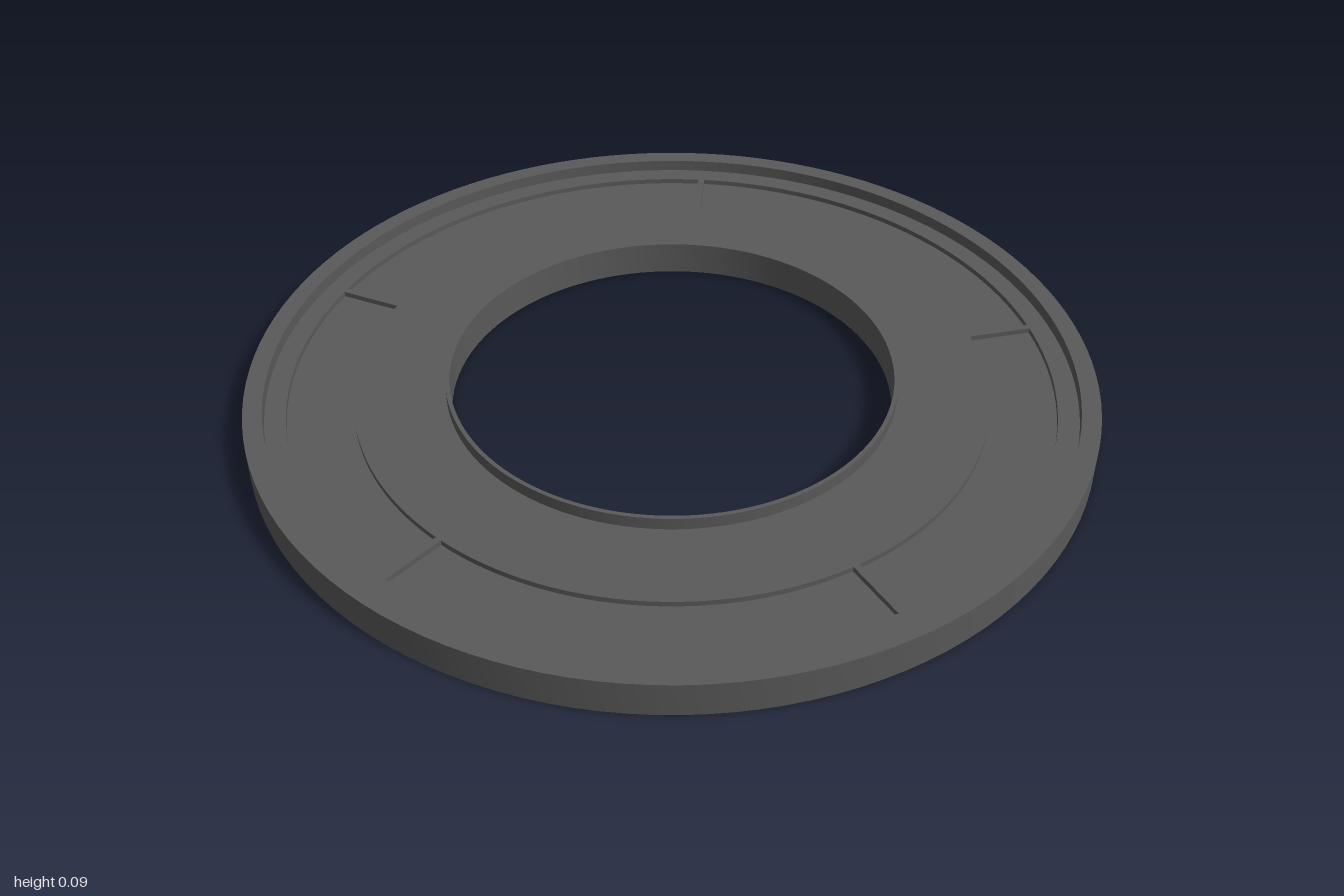
import * as THREE from 'three';
import { toCreasedNormals } from 'three/addons/utils/BufferGeometryUtils.js';

const HEIGHT = 0.085, DECK_Y = 0.055, POCKET_Y = 0.042;
const HOLE_R = 0.525, LIP_R = 0.535, RIM_R = 0.955, OUTER_R = 1;
const POCKET_IN = 0.75, POCKET_OUT = 0.905, RIB_HALF = 0.008, POCKETS = 5;

export function createModel() {
  const group = new THREE.Group();
  group.name = 'ringTray';
  const darkGrey = new THREE.MeshStandardMaterial({ color: 0x595959 });
  darkGrey.name = 'dark grey';

  const add = (name, geometry) => {
    const mesh = new THREE.Mesh(toCreasedNormals(geometry, 0.6), darkGrey);
    mesh.name = name;
    group.add(mesh);
  };

  // Ring body: base, raised outer rim and thin lip around the hole
  const profile = [
    [HOLE_R, 0], [OUTER_R, 0], [OUTER_R, HEIGHT], [RIM_R, HEIGHT], [RIM_R, POCKET_Y],
    [LIP_R, POCKET_Y], [LIP_R, HEIGHT], [HOLE_R, HEIGHT], [HOLE_R, 0],
  ].map(([r, y]) => new THREE.Vector2(r, y));
  add('ringBody', new THREE.LatheGeometry(profile, 120));

  // Deck between lip and rim, cut by five arc pockets with narrow parallel ribs between
  const deck = new THREE.Shape();
  deck.absarc(0, 0, RIM_R + 0.001, 0, Math.PI * 2, false);
  const opening = new THREE.Path();
  opening.absarc(0, 0, LIP_R - 0.001, 0, Math.PI * 2, true);
  deck.holes.push(opening);

  const step = (Math.PI * 2) / POCKETS;
  const insetIn = Math.asin(RIB_HALF / POCKET_IN);
  const insetOut = Math.asin(RIB_HALF / POCKET_OUT);
  for (let i = 0; i < POCKETS; i++) {
    const start = Math.PI / 2 + i * step, end = start + step;
    const pocket = new THREE.Path();
    pocket.absarc(0, 0, POCKET_OUT, start + insetOut, end - insetOut, false);
    pocket.absarc(0, 0, POCKET_IN, end - insetIn, start + insetIn, true);
    pocket.closePath();
    deck.holes.push(pocket);
  }
  const deckGeometry = new THREE.ExtrudeGeometry(deck, {
    depth: DECK_Y - POCKET_Y, bevelEnabled: false, curveSegments: 60,
  });
  deckGeometry.rotateX(-Math.PI / 2).translate(0, POCKET_Y, 0);
  add('pocketedDeck', deckGeometry);

  return group;
}
